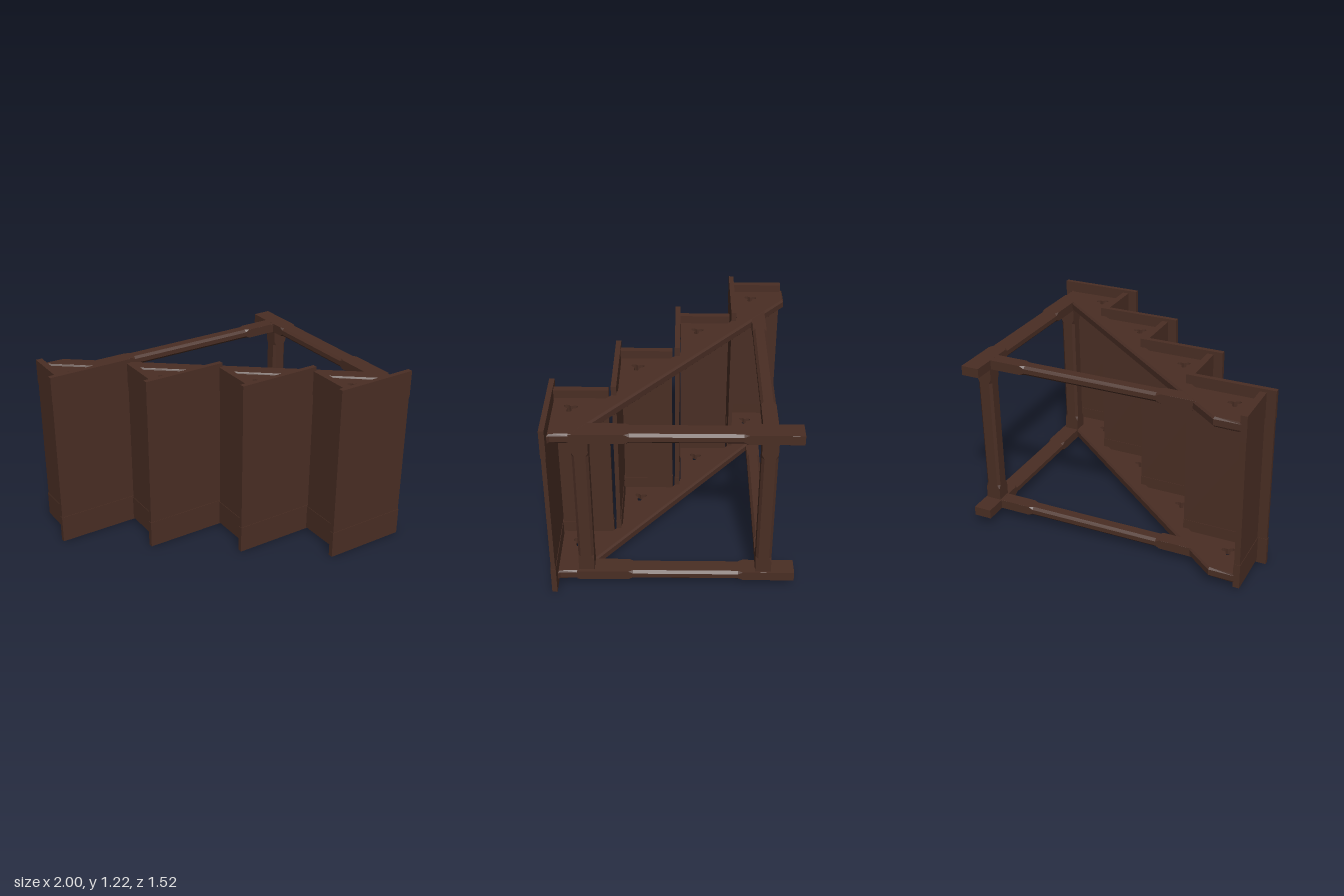
import * as THREE from 'three';

const wood = new THREE.MeshStandardMaterial({ color: 0x4a2e24 });
wood.name = 'darkWood';

const WIDTH = 1.222, STEP_X = 0.476, STEP_Z = 0.379;
const FRAME_TOP = 1.163, FRAME_THICK = 0.064;

function add(parent, name, geometry) {
  const mesh = new THREE.Mesh(geometry, wood);
  mesh.name = name;
  parent.add(mesh);
  return mesh;
}

// Box given by its lower and upper corners
function block(parent, name, [x0, y0, z0], [x1, y1, z1]) {
  const mesh = add(parent, name, new THREE.BoxGeometry(x1 - x0, y1 - y0, z1 - z0));
  mesh.position.set((x0 + x1) / 2, (y0 + y1) / 2, (z0 + z1) / 2);
  return mesh;
}

// Board made of two end bands and a slightly slimmer middle
function bandedBoard(parent, name, lo, hi) {
  const s = 0.003, cuts = [lo[1], 0.187, 1.036, hi[1]];
  for (let i = 0; i < 3; i++) {
    const inset = i === 1 ? s : 0;
    block(parent, name + (i === 1 ? 'Middle' : 'End'),
      [lo[0] + inset, cuts[i], lo[2] + inset], [hi[0] - inset, cuts[i + 1], hi[2] - inset]);
  }
}

// Beam along local z with square ends and stop-chamfered edges
function beamGeometry(w, h, length, stop, c = 0.016) {
  const ring = (z, k) => {
    const a = w / 2, b = h / 2;
    return [[a, b - k], [a - k, b], [k - a, b], [-a, b - k], [-a, k - b], [k - a, -b], [a - k, -b], [a, k - b]]
      .map(([x, y]) => [x, y, z]);
  };
  const L = length / 2, e = 0.0002;
  const rings = [ring(-L, e), ring(-L + stop, e), ring(-L + stop + 0.03, c),
    ring(L - stop - 0.03, c), ring(L - stop, e), ring(L, e)];
  const pos = [];
  for (let r = 0; r < rings.length - 1; r++) {
    for (let i = 0; i < 8; i++) {
      const j = (i + 1) % 8, A = rings[r], B = rings[r + 1];
      pos.push(...A[i], ...A[j], ...B[j], ...A[i], ...B[j], ...B[i]);
    }
  }
  const first = rings[0], last = rings[rings.length - 1];
  for (let i = 1; i < 7; i++) {
    pos.push(...last[0], ...last[i], ...last[i + 1]);
    pos.push(...first[0], ...first[i + 1], ...first[i]);
  }
  const g = new THREE.BufferGeometry();
  g.setAttribute('position', new THREE.Float32BufferAttribute(pos, 3));
  g.computeVertexNormals();
  return g;
}

// Plan-view shape (x, z) extruded downwards from the given height
function slab(points, top, thick, bevel = 0, hole = null) {
  const shape = new THREE.Shape(points.map(([x, z]) => new THREE.Vector2(x, z)));
  if (hole) shape.holes.push(hole);
  const g = new THREE.ExtrudeGeometry(shape, {
    depth: thick - 2 * bevel, bevelEnabled: bevel > 0, bevelThickness: bevel,
    bevelSize: bevel, bevelOffset: -bevel, bevelSegments: 1,
  });
  g.rotateX(Math.PI / 2);
  g.translate(0, top - bevel, 0);
  return g;
}

// Three-lobed cut-out
function trefoil(cx, cz) {
  const pts = [];
  for (let i = 0; i < 36; i++) {
    const t = (i / 36) * Math.PI * 2;
    const r = 0.032 + 0.014 * Math.cos(3 * (t + 0.17));
    pts.push(new THREE.Vector2(cx + r * Math.cos(t), cz - r * Math.sin(t)));
  }
  return new THREE.Path(pts);
}

export function createModel() {
  const model = new THREE.Group();
  model.name = 'staircase';

  // Treads and risers
  for (let i = 0; i < 4; i++) {
    const step = new THREE.Group();
    step.name = 'step' + (i + 1);
    step.position.set(i * STEP_X, 0, i * STEP_Z);
    model.add(step);
    bandedBoard(step, 'tread', [-1, 0, -0.413], [-0.432, WIDTH, -0.38]);
    bandedBoard(step, 'riser', [-0.94, 0.02, -0.745], [-0.897, 1.202, -0.413]);
  }

  // Two matching side frames
  for (const lower of [false, true]) {
    const side = new THREE.Group();
    side.name = lower ? 'lowerSideFrame' : 'upperSideFrame';
    const top = lower ? WIDTH - FRAME_TOP + FRAME_THICK : FRAME_TOP;
    const mid = top - FRAME_THICK / 2;
    model.add(side);

    add(side, 'stringer', slab(
      [[-0.91, -0.758], [-0.74, -0.758], [0.94, 0.582], [0.94, 0.722]], top, FRAME_THICK, 0.012));

    // Pierced triangular brackets
    for (let i = 0; i < 4; i++) {
      const bracket = add(side, 'bracket', slab(
        [[-0.892, -0.742], [-0.47, -0.418], [-0.892, -0.418]],
        mid + 0.02, 0.04, 0, trefoil(-0.785, -0.525)));
      bracket.position.set(i * STEP_X, 0, i * STEP_Z);
    }

    const base = add(side, 'baseBeam', beamGeometry(0.12, FRAME_THICK - 0.001, 1.358, 0.32));
    base.position.set(0.88, mid, -0.079);

    const back = add(side, 'backBeam', beamGeometry(0.092, FRAME_THICK - 0.002, 1.46, 0.25));
    back.rotation.y = Math.PI / 2;
    back.position.set(0.13, mid, -0.567);
  }

  // Cross posts joining the two frames
  for (const [name, x, z] of [['frontPost', 0.87, 0.54], ['backPost', 0.88, -0.563]]) {
    const post = add(model, name, beamGeometry(0.1, 0.098, 0.98, 0.08));
    post.rotation.x = Math.PI / 2;
    post.position.set(x, WIDTH / 2, z);
  }
  return model;
}
